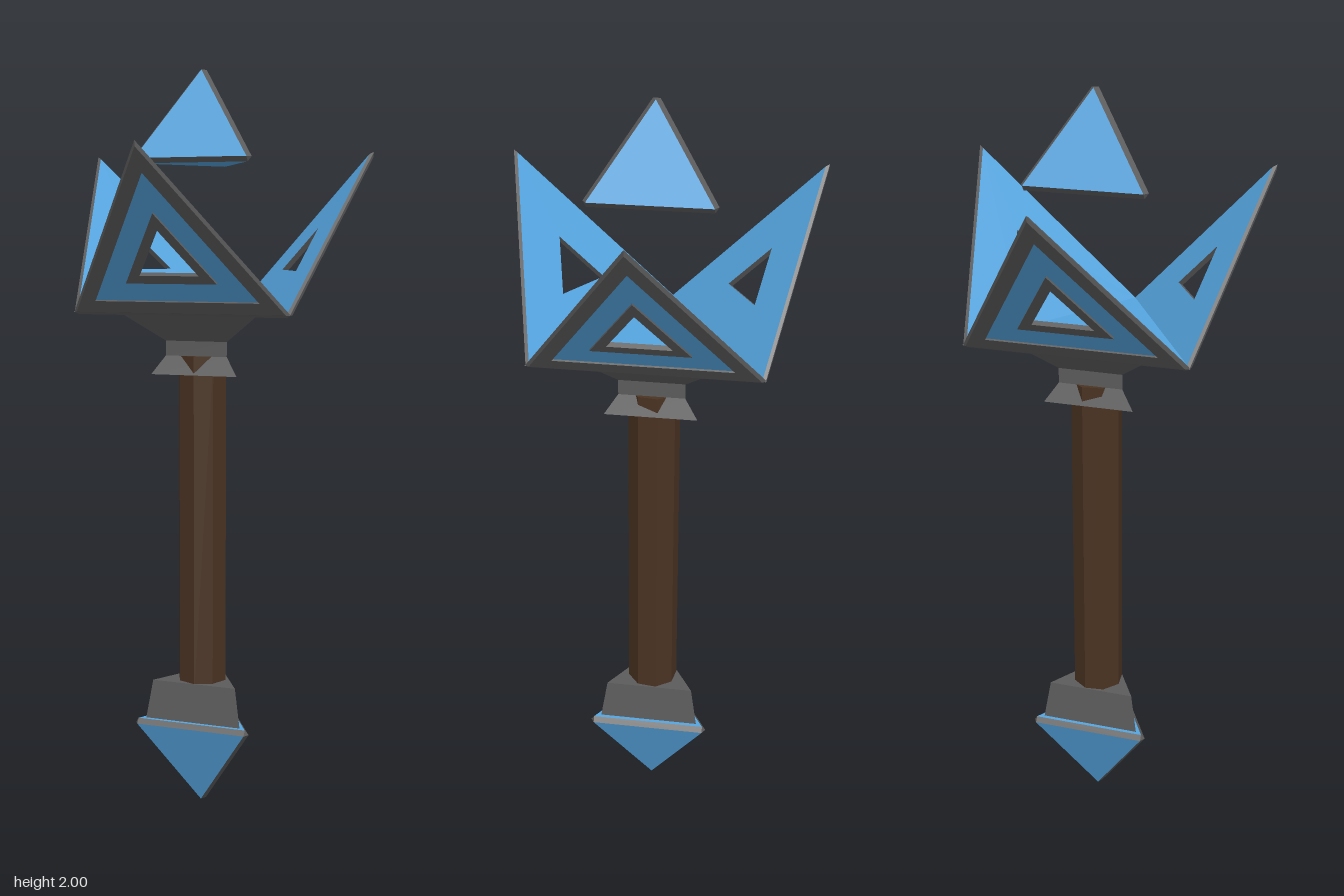
import * as THREE from 'three';

const mat = (color) => new THREE.MeshStandardMaterial({ color, flatShading: true });
const BLUE = mat(0x55a5e0), GREY = mat(0x5c5c5c), WOOD = mat(0x4a3322);

function mesh(name, geometry, material) {
  const m = new THREE.Mesh(geometry, material);
  m.name = name;
  return m;
}

function fromTriangles(points) {
  const g = new THREE.BufferGeometry().setFromPoints(points);
  g.computeVertexNormals();
  return g;
}

// Three-sided lofted surface: profile of [corner radius, height] pairs, one corner towards -z
function loft(profile) {
  const corner = ([r, y], k) => {
    const a = Math.PI / 3 + k * Math.PI * 2 / 3;
    return new THREE.Vector3(r * Math.sin(a), y, r * Math.cos(a));
  };
  const pts = [];
  for (let i = 0; i < profile.length - 1; i++) {
    for (let k = 0; k < 3; k++) {
      const a = corner(profile[i], k), b = corner(profile[i], k + 1);
      const c = corner(profile[i + 1], k + 1), d = corner(profile[i + 1], k);
      if (profile[i][0] > 0) pts.push(a, b, c);
      if (profile[i + 1][0] > 0) pts.push(a, c, d);
    }
  }
  return fromTriangles(pts);
}

// Triangular plate with a raised rim below, optionally pierced by a framed triangular hole
const R = 0.335, HOLE = 0.093, DEPTH = -0.014, RECESS = -0.009;
function plate(name, pierced) {
  const g = new THREE.Group();
  g.name = name;
  const inner = pierced ? HOLE : 0, frame = pierced ? HOLE + 0.05 : 0;
  g.add(
    mesh('rim', loft([[R - 0.075, RECESS], [R - 0.075, DEPTH], [R - 0.002, DEPTH], [R + 0.011, -0.007], [R, 0]]), GREY),
    mesh('innerPanel', loft([[R, 0], [inner, 0]]), BLUE),
    mesh('outerPanel', loft([[frame, RECESS], [R - 0.075, RECESS]]), BLUE));
  if (pierced) {
    g.add(mesh('holeFrame', loft([[HOLE, 0], [HOLE, DEPTH], [frame, DEPTH], [frame, RECESS]]), GREY));
  }
  return g;
}

// Three-sided pyramid with blue faces and grey chamfered edges; negative height points down
function gem(name, baseY, height) {
  const r = 0.211, t = 0.15;
  const v = [new THREE.Vector3(0, height, 0)];
  for (let k = 0; k < 3; k++) {
    const a = Math.PI / 3 + k * Math.PI * 2 / 3;
    v.push(new THREE.Vector3(r * Math.sin(a), 0, r * Math.cos(a)));
  }
  const others = (...skip) => [0, 1, 2, 3].filter((i) => !skip.includes(i));
  const middle = new THREE.Vector3(0, height / 4, 0);
  // Corner i drawn in on the face opposite corner f
  const inset = (f, i) => {
    const c = new THREE.Vector3();
    others(f).forEach((j) => c.addScaledVector(v[j], 1 / 3));
    return v[i].clone().lerp(c, t);
  };
  const add = (list, a, b, c) => {
    const n = b.clone().sub(a).cross(c.clone().sub(a));
    if (n.dot(a.clone().sub(middle)) > 0) list.push(a, b, c);
    else list.push(a, c, b);
  };
  const faces = [], edges = [];
  for (let i = 0; i < 4; i++) {
    const o = others(i);
    add(faces, ...o.map((j) => inset(i, j)));
    add(edges, ...o.map((f) => inset(f, i)));
    for (let j = i + 1; j < 4; j++) {
      const [f, h] = others(i, j);
      add(edges, inset(f, i), inset(f, j), inset(h, j));
      add(edges, inset(f, i), inset(h, j), inset(h, i));
    }
  }
  const g = new THREE.Group();
  g.name = name;
  g.add(mesh('gemFaces', fromTriangles(faces), BLUE), mesh('gemEdges', fromTriangles(edges), GREY));
  g.position.y = baseY;
  return g;
}

export function createModel() {
  const model = new THREE.Group();
  model.name = 'sceptre';
  const body = new THREE.Group();
  body.name = 'body';
  body.position.z = -0.06;
  model.add(body);

  // Handle
  const shaft = mesh('shaft', new THREE.CylinderGeometry(0.068, 0.068, 0.95, 8), WOOD);
  shaft.position.y = 0.775;
  body.add(shaft);

  // Triangular collars at both ends of the handle
  body.add(
    mesh('lowerCollar', loft([[0, 0.242], [0.158, 0.242], [0.138, 0.35], [0, 0.35]]), GREY),
    mesh('upperCollar', loft([[0, 1.2], [0.14, 1.2], [0.1, 1.25], [0.1, 1.29], [0.22, 1.364], [0, 1.364]]), GREY));

  // Gems: pommel below, floating one above
  body.add(gem('pommelGem', 0.243, -0.27), gem('floatingGem', 1.757, 0.27));

  // Crown: flat base plate and three petals hinged on its edges
  const crown = new THREE.Group();
  crown.name = 'crown';
  crown.position.y = 1.377;
  crown.add(plate('crownBase', false));
  for (let k = 0; k < 3; k++) {
    const petal = plate('petalPlate', true);
    petal.rotation.y = Math.PI;
    petal.position.z = R / 2;
    const hinge = new THREE.Group();
    hinge.rotation.x = -Math.atan(Math.SQRT2);
    hinge.position.z = R / 2;
    hinge.add(petal);
    const arm = new THREE.Group();
    arm.name = 'petal';
    arm.rotation.y = k * Math.PI * 2 / 3;
    arm.add(hinge);
    crown.add(arm);
  }
  body.add(crown);
  return model;
}
